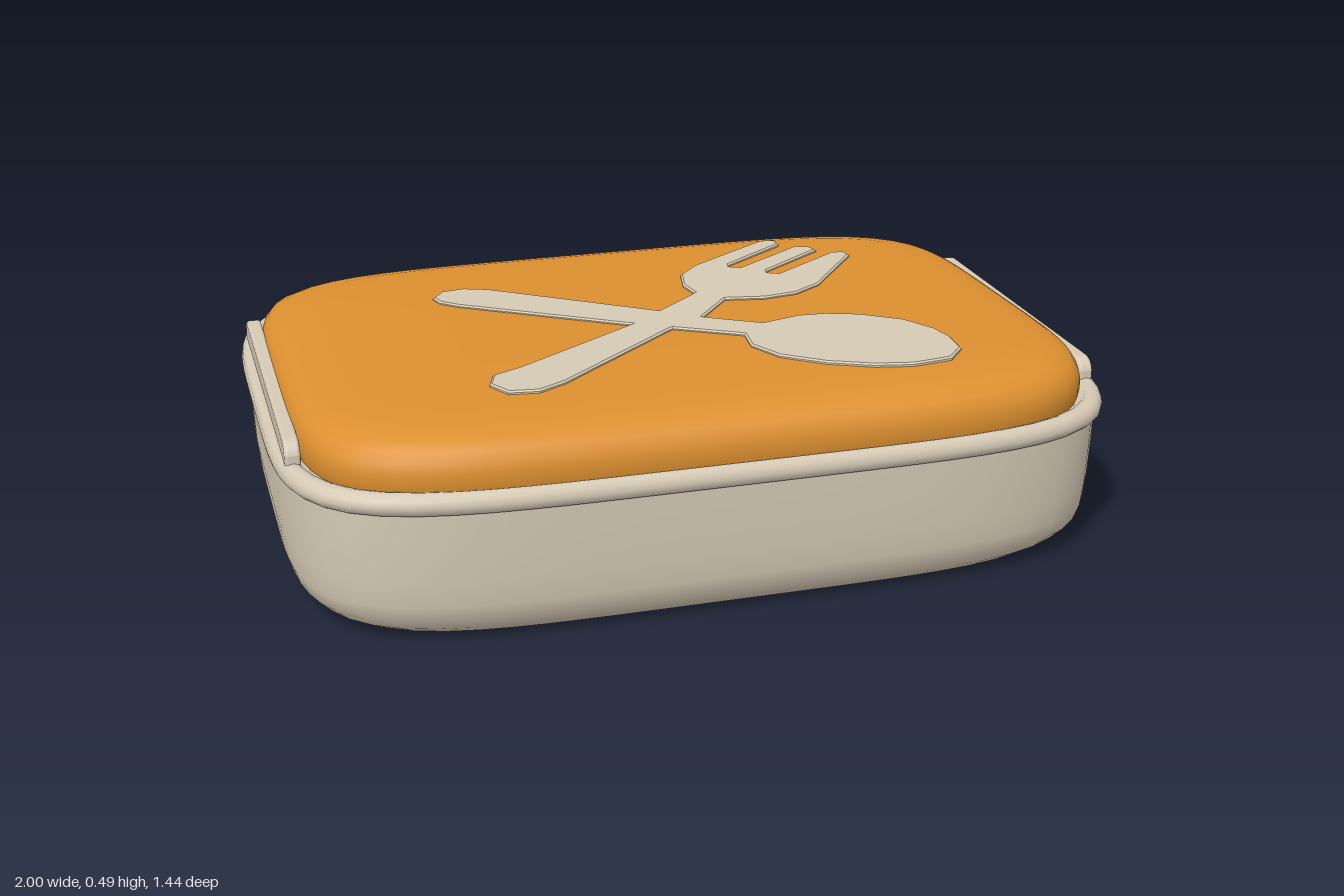
import * as THREE from 'three';

const SIDES = 96;

// Stacks rounded-rectangle rings; each row is [half width, half depth, y], listed bottom to top.
function loft(rows, warp) {
  const pos = [], idx = [];
  rows.forEach(([a, b, y]) => {
    for (let j = 0; j < SIDES; j++) {
      const t = (j / SIDES) * Math.PI * 2, c = Math.cos(t), s = Math.sin(t);
      const r = Math.pow(Math.abs(c) ** 5 + Math.abs(s) ** 5, -0.2);
      const z = b * r * s;
      pos.push(a * r * c, y + warp(y, z), z);
    }
  });
  for (let i = 0; i < rows.length - 1; i++) {
    for (let j = 0; j < SIDES; j++) {
      const k = (j + 1) % SIDES, p = i * SIDES, q = p + SIDES;
      idx.push(p + j, q + j, p + k, p + k, q + j, q + k);
    }
  }
  const g = new THREE.BufferGeometry();
  g.setAttribute('position', new THREE.Float32BufferAttribute(pos, 3));
  g.setIndex(idx);
  g.computeVertexNormals();
  return g;
}

// Raised flat emblem from an x/z outline, tilted with the lid.
function emblem(points) {
  const shape = new THREE.Shape(points.map(([x, z]) => new THREE.Vector2(x, -z)));
  const g = new THREE.ExtrudeGeometry(shape, {
    depth: 0.025, bevelEnabled: true, bevelThickness: 0.004, bevelSize: 0.005, bevelOffset: -0.005, bevelSegments: 1,
  });
  g.rotateX(-Math.PI / 2);
  const p = g.attributes.position;
  for (let i = 0; i < p.count; i++) p.setY(i, p.getY(i) + 0.456 + 0.02 * p.getZ(i));
  g.computeVertexNormals();
  return g;
}

export function createModel() {
  const model = new THREE.Group();
  model.name = 'lunchBox';
  const cream = new THREE.MeshStandardMaterial({ name: 'cream', color: 0xd6cab5 });
  const orange = new THREE.MeshStandardMaterial({ name: 'orange', color: 0xdd9030 });
  const add = (name, geometry, material) => {
    const mesh = new THREE.Mesh(geometry, material);
    mesh.name = name;
    model.add(mesh);
    return mesh;
  };

  // Tub with a shallow recess underneath
  const sag = (y, z) => (0.009 - 0.014 * z) * Math.max(0, 1 - y / 0.33);
  add('tub', loft([
    [0, 0, 0.012], [0.6, 0.4, 0.012], [0.83, 0.565, 0.012], [0.845, 0.58, 0.01],
    [0.855, 0.59, 0.001], [0.87, 0.605, 0], [0.905, 0.635, 0.008], [0.94, 0.66, 0.03],
    [0.965, 0.683, 0.06], [0.977, 0.693, 0.1], [0.982, 0.698, 0.16], [0.985, 0.702, 0.25], [0.985, 0.704, 0.34],
  ], sag), cream);

  // Rolled rim
  add('rim', loft([
    [0.975, 0.695, 0.328], [0.99, 0.71, 0.328], [0.998, 0.718, 0.338], [1, 0.72, 0.35],
    [0.997, 0.717, 0.364], [0.988, 0.708, 0.374], [0.975, 0.697, 0.377], [0.962, 0.69, 0.374],
    [0.953, 0.685, 0.362], [0.93, 0.67, 0.36],
  ], () => 0), cream);

  // Softly domed lid, a little higher at the front
  add('lid', loft([
    [0.94, 0.682, 0.355], [0.947, 0.689, 0.38], [0.947, 0.688, 0.405], [0.942, 0.682, 0.425],
    [0.93, 0.668, 0.445], [0.905, 0.64, 0.461], [0.86, 0.595, 0.471], [0.78, 0.53, 0.476],
    [0.5, 0.32, 0.478], [0, 0, 0.478],
  ], (y, z) => 0.02 * z * Math.min(1, Math.max(0, (y - 0.38) / 0.08))), orange);

  // Side clips
  const tab = new THREE.Shape();
  tab.moveTo(-0.435, 0.35);
  tab.lineTo(0.435, 0.35);
  tab.lineTo(0.435, 0.395);
  tab.quadraticCurveTo(0.425, 0.425, 0.395, 0.425);
  tab.lineTo(-0.395, 0.425);
  tab.quadraticCurveTo(-0.425, 0.425, -0.435, 0.395);
  for (const side of [1, -1]) {
    const g = new THREE.ExtrudeGeometry(tab, {
      depth: 0.02, bevelEnabled: true, bevelThickness: 0.008, bevelSize: 0.008, bevelOffset: -0.008, bevelSegments: 3,
    });
    g.translate(0, 0, -0.01);
    g.rotateY(Math.PI / 2);
    add(side > 0 ? 'leftClip' : 'rightClip', g, cream).position.x = side * 0.955;
  }

  // Crossed spoon and fork
  add('spoon', emblem([
    [0.23, 0.13], [0.33, 0.1], [0.4, 0.105], [0.48, 0.135], [0.57, 0.205], [0.615, 0.29], [0.627, 0.36], [0.62, 0.44],
    [0.57, 0.5], [0.47, 0.515], [0.38, 0.495], [0.28, 0.445], [0.19, 0.37], [0.15, 0.28], [0.16, 0.2],
    [0, 0.1], [-0.1, 0.035], [-0.46, -0.22], [-0.5, -0.26], [-0.51, -0.3], [-0.48, -0.345], [-0.42, -0.355],
    [-0.36, -0.33], [0, -0.045], [0.11, 0.05],
  ]), cream);
  add('fork', emblem([
    [0.14, -0.15], [0.13, -0.22], [0.15, -0.31], [0.21, -0.38], [0.45, -0.55], [0.49, -0.54], [0.49, -0.505],
    [0.3, -0.36], [0.295, -0.34], [0.32, -0.325], [0.52, -0.47], [0.56, -0.46], [0.57, -0.425],
    [0.38, -0.28], [0.375, -0.26], [0.4, -0.245], [0.6, -0.39], [0.635, -0.385], [0.64, -0.355],
    [0.47, -0.13], [0.39, -0.075], [0.3, -0.06], [0.2, -0.08], [0.09, 0.06], [0, 0.11],
    [-0.33, 0.4], [-0.4, 0.44], [-0.47, 0.43], [-0.5, 0.37], [-0.48, 0.31], [-0.41, 0.275], [-0.07, 0.04],
  ]), cream);

  return model;
}
